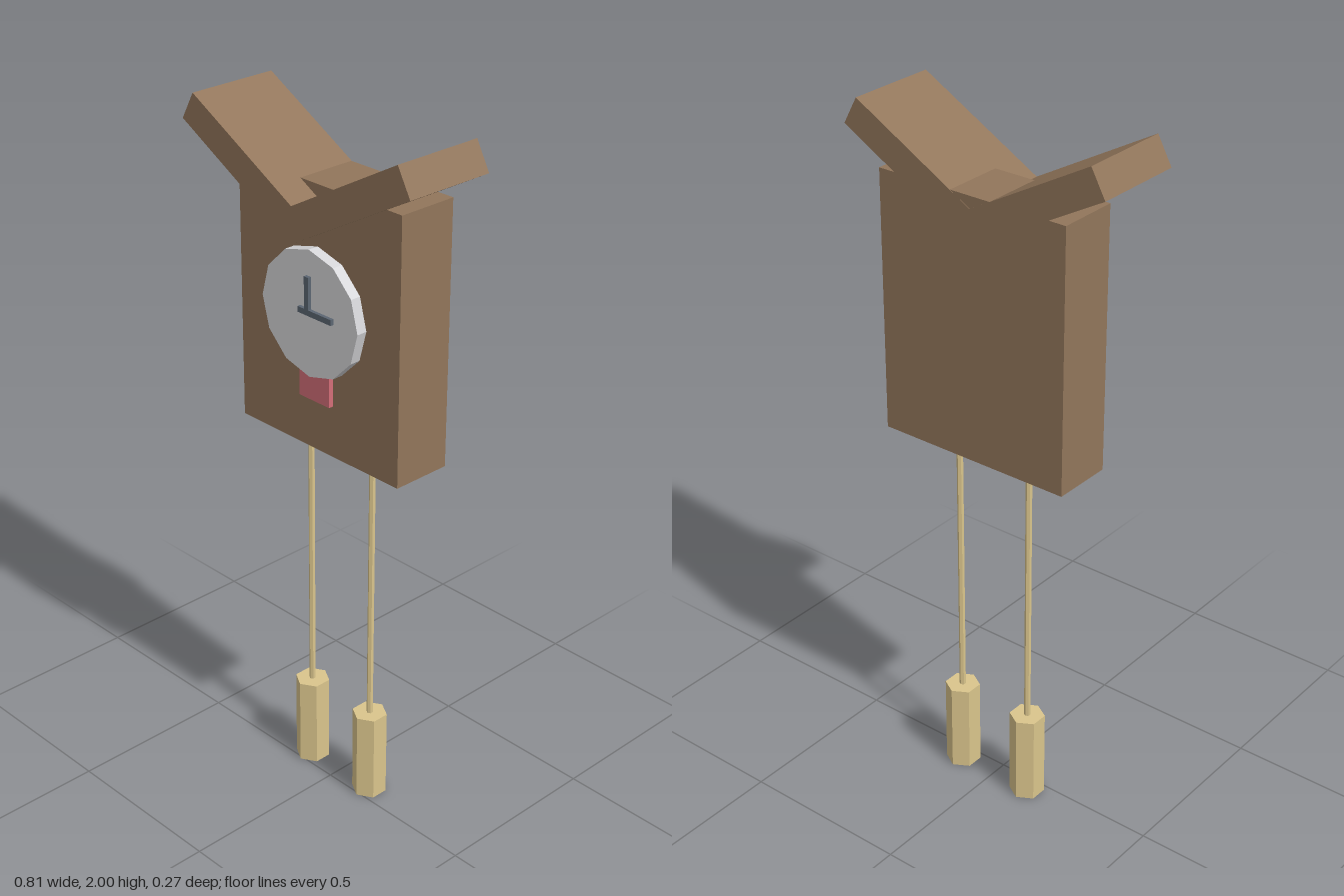
import * as THREE from 'three';

const mat = (name, color) => {
  const m = new THREE.MeshStandardMaterial({ color });
  m.name = name;
  m.flatShading = true;
  return m;
};

export function createModel() {
  const wood = mat('brown wood', 0x92765b);
  const dialWhite = mat('dial white', 0xd6d6d9);
  const red = mat('soft red', 0xd46e78);
  const slate = mat('slate', 0x5c6672);
  const brass = mat('pale brass', 0xdac58c);

  const group = new THREE.Group();
  group.name = 'wallClock';
  const add = (name, geometry, material, x, y, z) => {
    const mesh = new THREE.Mesh(geometry, material);
    mesh.name = name;
    mesh.position.set(x, y, z);
    group.add(mesh);
    return mesh;
  };
  // Box given by its limits on each axis
  const addBox = (name, material, [x0, x1], [y0, y1], [z0, z1]) =>
    add(name, new THREE.BoxGeometry(x1 - x0, y1 - y0, z1 - z0), material,
      (x0 + x1) / 2, (y0 + y1) / 2, (z0 + z1) / 2);

  // Case
  addBox('case', wood, [-0.293, 0.293], [1.092, 1.833], [-0.132, 0.044]);

  // Two roof boards meeting in a V at the middle
  const angle = Math.atan2(0.225, 0.405);
  const length = 0.463, thickness = 0.087;
  for (const side of [1, -1]) {
    const board = new THREE.BoxGeometry(length, thickness, 0.266);
    board.translate(side * length / 2, thickness / 2, 0);
    board.rotateZ(side * angle);
    add(side > 0 ? 'leftRoofBoard' : 'rightRoofBoard', board, wood, 0, 1.699, 0);
  }

  // Twelve-sided dial
  const dial = new THREE.CylinderGeometry(0.176, 0.176, 0.032, 12);
  dial.rotateX(Math.PI / 2);
  add('dial', dial, dialWhite, 0, 1.492, 0.059);

  // Hands
  addBox('minuteHand', slate, [-0.032, 0.09], [1.492, 1.508], [0.07, 0.085]);
  addBox('hourHand', slate, [-0.008, 0.008], [1.508, 1.597], [0.07, 0.085]);

  // Small red plate below the dial
  addBox('redPlate', red, [-0.056, 0.056], [1.24, 1.38], [0.04, 0.058]);

  // Hanging rods and hexagonal weights
  for (const side of [1, -1]) {
    const label = side > 0 ? 'left' : 'right';
    add(label + 'Rod', new THREE.CylinderGeometry(0.009, 0.009, 0.86, 6), brass,
      side * 0.118, 0.68, -0.041);
    add(label + 'Weight', new THREE.CylinderGeometry(0.05, 0.05, 0.267, 6), brass,
      side * 0.118, 0.1335, -0.041);
  }
  return group;
}
